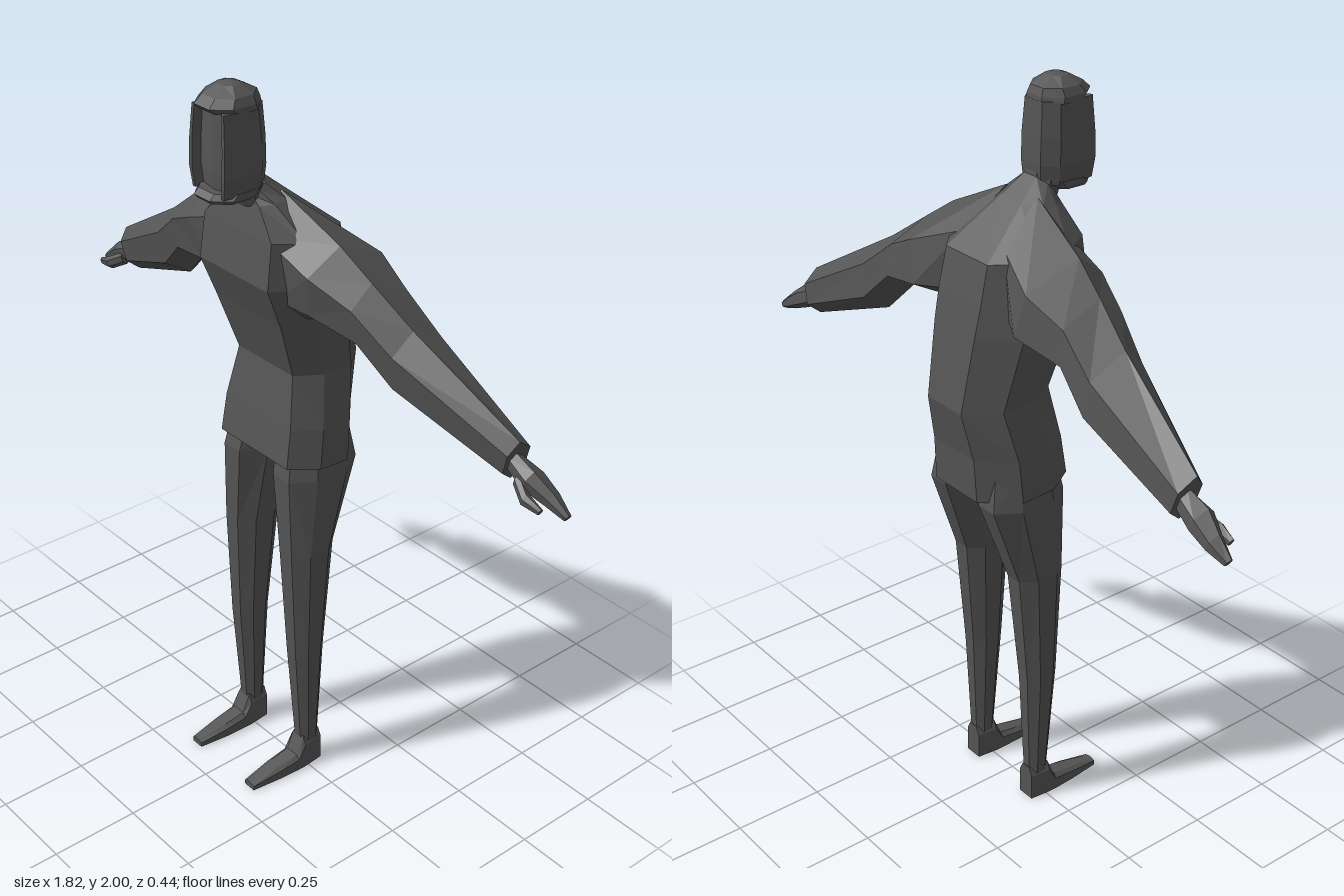
import * as THREE from 'three';

const material = new THREE.MeshStandardMaterial({ color: 0x555555, flatShading: true, side: THREE.DoubleSide });

// Closed skin over rings of [x, y, z] points, capped at both ends and facing outward
function loft(name, rings) {
  const n = rings[0].length, pos = rings.flat(2), index = [];
  rings.slice(1).forEach((_, r) => {
    for (let i = 0; i < n; i++) {
      const a = r * n + i, b = r * n + (i + 1) % n;
      index.push(a, b, a + n, b, b + n, a + n);
    }
  });
  for (const r of [0, rings.length - 1]) {
    const c = pos.length / 3;
    for (let k = 0; k < 3; k++) pos.push(rings[r].reduce((s, p) => s + p[k], 0) / n);
    for (let i = 0; i < n; i++) {
      const a = r * n + i, b = r * n + (i + 1) % n;
      if (r === 0) index.push(b, a, c); else index.push(a, b, c);
    }
  }
  // Signed volume decides the winding
  const at = i => new THREE.Vector3().fromArray(pos, i * 3);
  let volume = 0;
  for (let i = 0; i < index.length; i += 3)
    volume += at(index[i]).dot(at(index[i + 1]).cross(at(index[i + 2])));
  if (volume < 0) index.reverse();
  const g = new THREE.BufferGeometry();
  g.setAttribute('position', new THREE.Float32BufferAttribute(pos, 3));
  g.setIndex(index);
  const flat = g.toNonIndexed();
  flat.computeVertexNormals();
  const mesh = new THREE.Mesh(flat, material);
  mesh.name = name;
  return mesh;
}

// Eight-sided body ring; the front and back edges may sit at different heights
function bodyRing([yf, yb, w, zf, zb]) {
  const half = [[0.75, 0], [1, 0.3], [0.97, 0.68], [0.48, 1]];
  const point = (s, [u, t]) => [s * u * w, yf + (yb - yf) * t, zf + (zb - zf) * t];
  return [...half.map(p => point(1, p)), ...half.slice().reverse().map(p => point(-1, p))];
}

// Six-sided limb ring between a top and a bottom point
const limbRing = side => ([xt, yt, xb, yb, zf, zb]) =>
  [[0, 0.65], [0.28, 1], [0.75, 0.92], [1, 0.45], [0.75, 0], [0.28, 0.06]].map(([t, s]) =>
    [side * (xt + (xb - xt) * t), yt + (yb - yt) * t, zb + (zf - zb) * s]);

// Level six- or eight-sided ring with chamfered corners
function levelRing([y, x0, x1, zf, zb], side = 1, cut = 0.28) {
  const a = x0 + (x1 - x0) * cut, b = x1 - (x1 - x0) * cut;
  const d = (zf - zb) * cut;
  return [[a, zf], [b, zf], [x1, zf - d], [x1, zb + d], [b, zb], [a, zb], [x0, zb + d], [x0, zf - d]]
    .map(([x, z]) => [side * x, y, z]);
}

// Hood ring: outer shell with a recessed face and a low central ridge
function hoodRing([y, w, zf, zb]) {
  const d = zf - zb;
  const half = [[0.72, 0.83], [0.76, 1], [0.9, 1], [1, 0.7], [0.92, 0.25], [0.5, 0]];
  const right = half.map(([u, t]) => [u * w, y, zb + d * t]);
  const left = half.slice().reverse().map(([u, t]) => [-u * w, y, zb + d * t]);
  return [...right, ...left, [0, y, zb + d * 0.9]];
}

export function createModel() {
  const model = new THREE.Group();
  model.name = 'figure';

  // Jacket with a hollowed hem, up to the neck
  model.add(loft('jacket', [
    [1.03, 1.0, 0.15, 0.045, -0.15],
    [1.0, 0.965, 0.165, 0.06, -0.17],
    [0.995, 0.97, 0.178, 0.07, -0.182],
    [1.1, 1.09, 0.172, 0.055, -0.188],
    [1.24, 1.22, 0.142, 0.03, -0.215],
    [1.4, 1.42, 0.168, 0.085, -0.18],
    [1.51, 1.5, 0.175, 0.13, -0.163],
    [1.63, 1.6, 0.17, 0.115, -0.14],
    [1.7, 1.71, 0.085, 0.1, -0.005],
    [1.72, 1.76, 0.05, 0.1, 0.055],
  ].map(bodyRing)));

  model.add(loft('pelvis', [
    [0.93, -0.035, 0.035, -0.01, -0.1],
    [0.98, -0.06, 0.06, 0.03, -0.14],
    [1.04, -0.12, 0.12, 0.03, -0.15],
  ].map(r => levelRing(r))));

  // Neck and hooded head
  model.add(loft('neck', [
    [1.69, -0.05, 0.05, 0.11, 0.04],
    [1.78, -0.05, 0.05, 0.15, 0.06],
  ].map(r => levelRing(r))));
  model.add(loft('hood', [
    [1.74, 0.066, 0.2, 0.06],
    [1.79, 0.074, 0.204, 0.056],
    [1.86, 0.074, 0.202, 0.058],
    [1.945, 0.066, 0.198, 0.064],
  ].map(hoodRing)));
  model.add(loft('crown', [
    [1.94, -0.066, 0.066, 0.2, 0.064],
    [1.955, -0.065, 0.065, 0.216, 0.066],
    [1.975, -0.055, 0.055, 0.195, 0.073],
    [1.995, -0.028, 0.028, 0.16, 0.11],
    [2.0, -0.012, 0.012, 0.145, 0.125],
  ].map(r => levelRing(r))));
  model.add(loft('chinGuard', [
    [1.724, -0.06, 0.06, 0.212, 0.09],
    [1.734, -0.068, 0.068, 0.22, 0.07],
    [1.748, -0.068, 0.068, 0.206, 0.06],
  ].map(r => levelRing(r))));

  for (const [side, label] of [[1, 'left'], [-1, 'right']]) {
    // Wide sleeve falling to the wrist
    model.add(loft(label + 'Sleeve', [
      [0.06, 1.725, 0.12, 1.38, 0.1, -0.1],
      [0.245, 1.635, 0.19, 1.405, 0.092, -0.158],
      [0.34, 1.57, 0.35, 1.385, 0.055, -0.135],
      [0.46, 1.485, 0.44, 1.295, 0.025, -0.147],
      [0.765, 1.308, 0.73, 1.19, -0.06, -0.14],
      [0.755, 1.28, 0.735, 1.215, -0.075, -0.125],
    ].map(limbRing(side))));

    // Mitten-like hand with a thumb
    model.add(loft(label + 'Hand', [
      [0.74, 1.275, 0.725, 1.215, -0.08, -0.12],
      [0.81, 1.248, 0.79, 1.185, -0.07, -0.136],
      [0.86, 1.21, 0.845, 1.165, -0.09, -0.136],
      [0.908, 1.17, 0.895, 1.15, -0.105, -0.125],
    ].map(limbRing(side))));
    model.add(loft(label + 'Thumb', [
      [0.775, 1.23, 0.765, 1.195, -0.07, -0.1],
      [0.82, 1.205, 0.81, 1.17, -0.05, -0.08],
      [0.865, 1.185, 0.855, 1.165, -0.06, -0.075],
    ].map(limbRing(side))));

    model.add(loft(label + 'Leg', [
      [0.08, 0.093, 0.147, 0.014, -0.045],
      [0.4, 0.078, 0.16, 0.04, -0.058],
      [0.72, 0.058, 0.168, 0.056, -0.086],
      [0.95, 0.03, 0.172, 0.062, -0.165],
      [1.04, 0.02, 0.16, 0.045, -0.15],
    ].map(r => levelRing(r, side))));

    // Shoe: cross-sections from heel to toe as [z, inner x, outer x, top y]
    model.add(loft(label + 'Shoe', [
      [-0.048, 0.094, 0.146, 0.1],
      [0.012, 0.088, 0.152, 0.1],
      [0.035, 0.088, 0.152, 0.046],
      [0.1, 0.09, 0.148, 0.034],
      [0.188, 0.1, 0.138, 0.018],
    ].map(([z, x0, x1, y]) => [
      [side * x0, 0, z], [side * x1, 0, z], [side * x1, y * 0.75, z],
      [side * (x1 - 0.012), y, z], [side * (x0 + 0.012), y, z], [side * x0, y * 0.75, z],
    ])));
  }
  return model;
}
